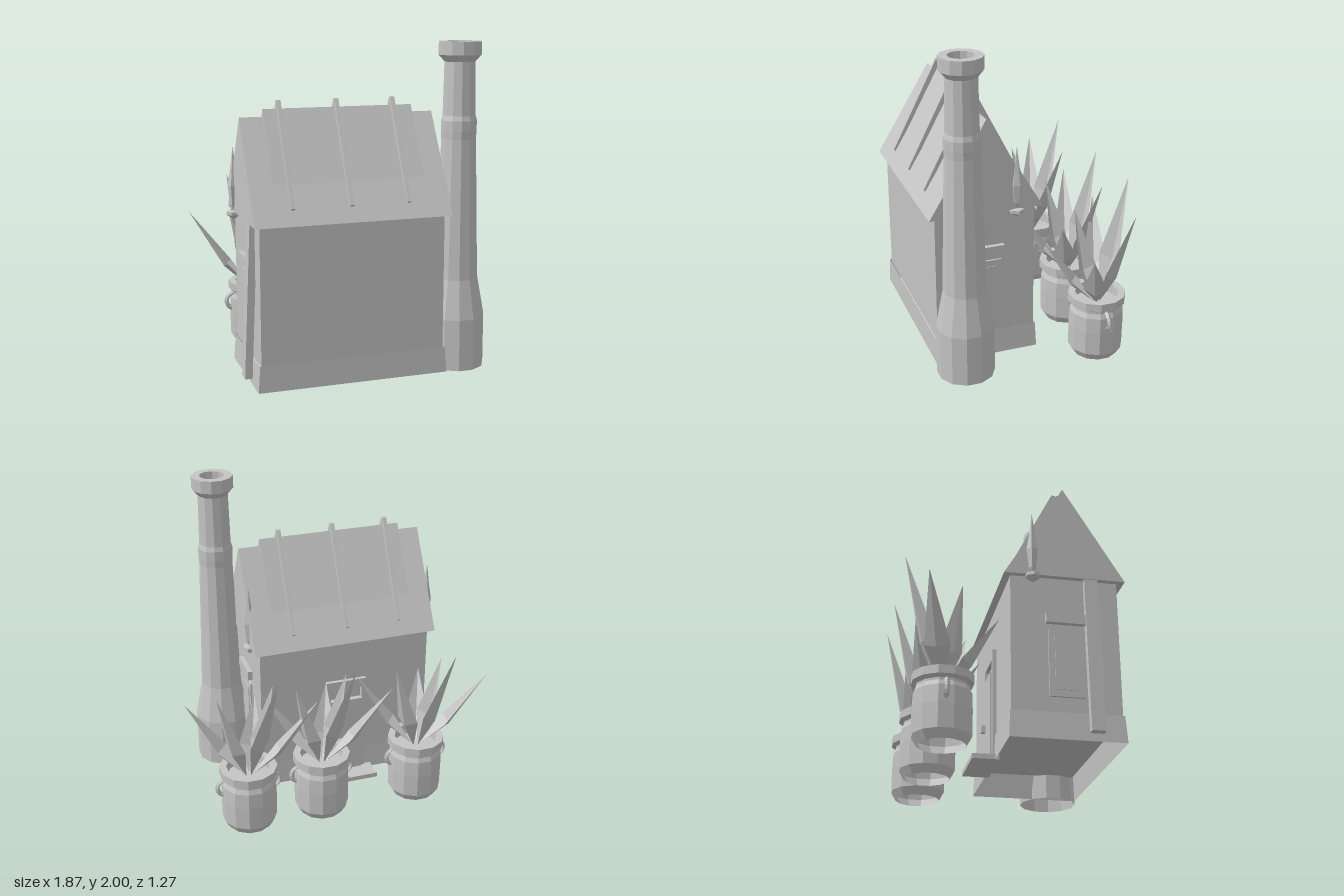
import * as THREE from 'three';

const stone = new THREE.MeshStandardMaterial({ color: 0xc4c4c4, flatShading: true, side: THREE.DoubleSide });
stone.name = 'pale grey';

const CZ = 0.275; // depth of the house centre line

function add(parent, name, geo, x = 0, y = 0, z = 0) {
  const m = new THREE.Mesh(geo, stone);
  m.name = name;
  m.position.set(x, y, z);
  parent.add(m);
  return m;
}

// box given by its limits on each axis
function slab(parent, name, x0, x1, y0, y1, z0, z1) {
  return add(parent, name, new THREE.BoxGeometry(x1 - x0, y1 - y0, z1 - z0),
    (x0 + x1) / 2, (y0 + y1) / 2, (z0 + z1) / 2);
}

// outline in (z from centre line, y) extruded along x
function gable(parent, name, pts, x0, x1) {
  const shape = new THREE.Shape(pts.map(p => new THREE.Vector2(p[0], p[1])));
  const geo = new THREE.ExtrudeGeometry(shape, { depth: x1 - x0, bevelEnabled: false });
  geo.rotateY(Math.PI / 2);
  return add(parent, name, geo, x0, 0, CZ);
}

function lathe(pts, sides) {
  const geo = new THREE.LatheGeometry(pts.map(p => new THREE.Vector2(p[0], p[1])), sides);
  geo.rotateY(Math.PI / sides);
  return geo;
}

// folded pointed leaf: root, two side corners, raised rib and tip
function leafGeometry(tx, ty, tz) {
  const len = Math.hypot(tx, tz), dx = tx / len, dz = tz / len, w = 0.075;
  const root = [dx * 0.02, 0.34, dz * 0.02];
  const my = 0.34 + (ty - 0.34) * 0.36, m = len * 0.4;
  const a = [dx * m - dz * w, my, dz * m + dx * w];
  const b = [dx * m + dz * w, my, dz * m - dx * w];
  const rib = [dx * (m + 0.035), my - 0.03, dz * (m + 0.035)];
  const tip = [tx, ty, tz];
  const tris = [root, a, rib, root, rib, b, a, tip, rib, rib, tip, b];
  const geo = new THREE.BufferGeometry();
  geo.setAttribute('position', new THREE.Float32BufferAttribute(tris.flat(), 3));
  geo.computeVertexNormals();
  return geo;
}

function pottedPlant() {
  const g = new THREE.Group();
  g.name = 'pottedPlant';
  add(g, 'pot', lathe([[0.14, 0], [0.17, 0.05], [0.172, 0.2], [0.168, 0.3], [0.155, 0.33], [0.155, 0.345],
    [0.18, 0.36], [0.18, 0.41], [0.135, 0.41], [0.13, 0.35], [0, 0.35]], 12));
  for (const s of [-1, 1]) {
    const h = add(g, 'potHandle', new THREE.TorusGeometry(0.055, 0.014, 4, 8, Math.PI), s * 0.145, 0.28, 0);
    h.rotation.z = -s * Math.PI / 2;
  }
  const tips = [[-0.41, 0.87, -0.14], [-0.13, 1.09, -0.25], [0.21, 0.99, -0.14],
    [0.34, 0.8, 0.18], [-0.13, 0.73, 0.3], [-0.19, 0.9, 0.08]];
  for (const t of tips) add(g, 'leaf', leafGeometry(...t));
  return g;
}

export function createModel() {
  const model = new THREE.Group();
  model.name = 'cottage';

  // walls on a tapered, open plinth
  const house = new THREE.Group();
  house.name = 'house';
  model.add(house);
  slab(house, 'walls', -0.725, 0.41, 0.15, 0.985, -0.04, 0.59);
  const plinth = new THREE.CylinderGeometry(Math.SQRT1_2, Math.SQRT1_2, 0.16, 4, 1, true);
  plinth.rotateY(Math.PI / 4);
  const p = plinth.attributes.position;
  for (let i = 0; i < p.count; i++) {
    const k = p.getY(i) < 0 ? 1 : 0.98;
    p.setXYZ(i, p.getX(i) * 1.18 * k, p.getY(i), p.getZ(i) * 0.66 * k);
  }
  add(house, 'plinth', plinth, -0.157, 0.08, CZ);

  // main roof, raised middle roof and ribs
  gable(house, 'roof', [[-0.357, 0.98], [0.357, 0.98], [0, 1.57]], -0.76, 0.445);
  gable(house, 'raisedRoof', [[-0.34, 0.985], [0.34, 0.985], [0, 1.615]], -0.62, 0.31);
  for (const x of [-0.525, -0.17, 0.185]) {
    gable(house, 'roofRib', [[-0.315, 1.075], [-0.3, 1.06], [0, 1.55], [0.3, 1.06], [0.315, 1.075],
      [0.012, 1.665], [-0.012, 1.665]], x - 0.012, x + 0.012);
  }

  // blind window, lintel and hanging lamp on each gable end
  for (const [x, s] of [[-0.725, -1], [0.41, 1]]) {
    const side = s > 0 ? 'left' : 'right';
    add(house, side + 'WindowFrame', new THREE.BoxGeometry(0.025, 0.4, 0.2), x, 0.45, CZ);
    add(house, side + 'WindowPanel', new THREE.BoxGeometry(0.034, 0.32, 0.13), x, 0.45, CZ);
    add(house, side + 'Lintel', new THREE.BoxGeometry(0.06, 0.06, 0.23), x, 0.72, CZ);
    const lx = s > 0 ? 0.44 : -0.76;
    add(house, side + 'LampBowl', lathe([[0, 0.93], [0.045, 0.96], [0.045, 0.98], [0, 0.985]], 6), lx, 0, 0.085);
    add(house, side + 'LampFlame', lathe([[0, 0.98], [0.022, 1.02], [0.035, 1.14], [0.02, 1.23], [0, 1.38]], 5), lx, 0, 0.085);
  }

  // plank leaning on the right wall
  const plank = add(house, 'leaningPlank', new THREE.BoxGeometry(0.045, 0.94, 0.08), -0.752, 0.515, 0.43);
  plank.rotation.z = -0.045;

  // back door with frame, handle and step
  slab(house, 'doorStep', -0.34, 0.02, 0, 0.03, -0.19, -0.03);
  slab(house, 'door', -0.27, -0.05, 0.03, 0.56, -0.075, -0.03);
  for (const x of [-0.295, -0.055]) slab(house, 'doorPost', x, x + 0.03, 0.03, 0.67, -0.065, -0.03);
  slab(house, 'doorLintel', -0.295, -0.025, 0.64, 0.7, -0.065, -0.03);
  slab(house, 'doorHandle', -0.125, -0.1, 0.23, 0.275, -0.1, -0.07);

  // tall flared chimney, open at both ends
  add(model, 'chimney', lathe([[0.178, 0], [0.177, 0.32], [0.132, 0.56], [0.106, 1.42], [0.109, 1.47],
    [0.109, 1.53], [0.1, 1.56], [0.094, 1.88], [0.13, 1.92], [0.13, 2], [0.078, 2], [0.075, 1.85]], 12),
    0.552, 0, 0.455);

  // row of pots behind the house
  for (const x of [-0.52, 0.12, 0.595]) {
    const plant = pottedPlant();
    plant.position.set(x, 0, -0.39);
    model.add(plant);
  }
  return model;
}
